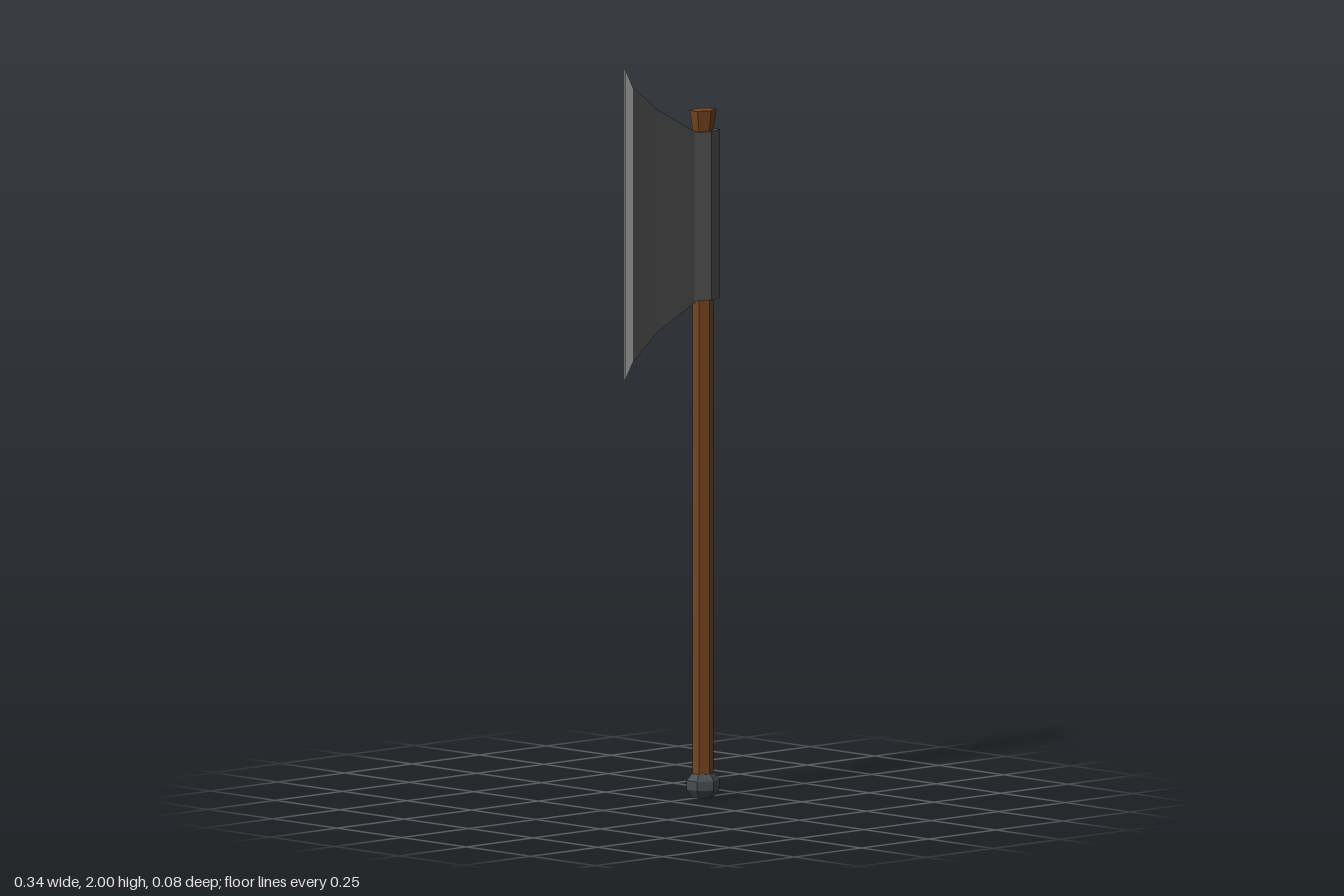
import * as THREE from 'three';

const material = (name, color) => {
  const m = new THREE.MeshStandardMaterial({ color, flatShading: true });
  m.name = name;
  return m;
};

// Joins rectangular cross-sections [x, yLow, yHigh, halfThickness], ordered from +x to -x
function loftSections(sections) {
  const rings = sections.map(([x, lo, hi, h]) => [
    [x, lo, h], [x, hi, h], [x, hi, -h], [x, lo, -h],
  ]);
  const pos = [];
  const quad = (a, b, c, d) => pos.push(...a, ...b, ...c, ...a, ...c, ...d);
  for (let i = 0; i < rings.length - 1; i++) {
    const p = rings[i], q = rings[i + 1];
    for (let k = 0; k < 4; k++) {
      const n = (k + 1) % 4;
      quad(p[k], p[n], q[n], q[k]);
    }
  }
  const [a, b, c, d] = rings[0];
  quad(d, c, b, a);
  const e = rings[rings.length - 1];
  quad(e[0], e[1], e[2], e[3]);
  const g = new THREE.BufferGeometry();
  g.setAttribute('position', new THREE.Float32BufferAttribute(pos, 3));
  g.computeVertexNormals();
  return g;
}

export function createModel() {
  const group = new THREE.Group();
  group.name = 'axe';
  const wood = material('brown wood', 0x754521);
  const steel = material('dark steel', 0x535353);
  const iron = material('pommel iron', 0x484b4d);
  const bright = material('sharpened steel', 0xa4a4a4);
  const shaftX = 0.122;

  const add = (name, geometry, mat) => {
    const mesh = new THREE.Mesh(geometry, mat);
    mesh.name = name;
    group.add(mesh);
    return mesh;
  };

  // Six-sided section around the shaft, with corners facing front and back
  const hex = (name, mat, rTop, rBottom, y0, y1, stretch) => {
    const g = new THREE.CylinderGeometry(rTop, rBottom, y1 - y0, 6);
    g.scale(stretch, 1, 1);
    g.translate(shaftX, (y0 + y1) / 2, 0);
    return add(name, g, mat);
  };

  // Shaft and flared end
  hex('handle', wood, 0.025, 0.025, 0.05, 1.81, 1.25);
  hex('handleCap', wood, 0.031, 0.023, 1.8, 1.863, 1.32);

  // Socket holding the blade
  hex('collar', steel, 0.033, 0.033, 1.35, 1.807, 1.66);

  // Pommel
  const profile = [[0, 0], [0.027, 0], [0.041, 0.022], [0.041, 0.047], [0.028, 0.065], [0, 0.065]];
  const pommel = new THREE.LatheGeometry(profile.map(([r, y]) => new THREE.Vector2(r, y)), 6);
  pommel.scale(1.18, 1, 1);
  pommel.translate(shaftX, 0, 0);
  add('pommel', pommel, iron);

  // Blade body and sharpened edge
  add('blade', loftSections([
    [0.085, 1.35, 1.805, 0.0165],
    [-0.055, 1.28, 1.88, 0.01],
    [-0.148, 1.205, 1.95, 0.009],
  ]), steel);
  add('cuttingEdge', loftSections([
    [-0.148, 1.205, 1.95, 0.009],
    [-0.17, 1.16, 2.0, 0.003],
  ]), bright);

  return group;
}
